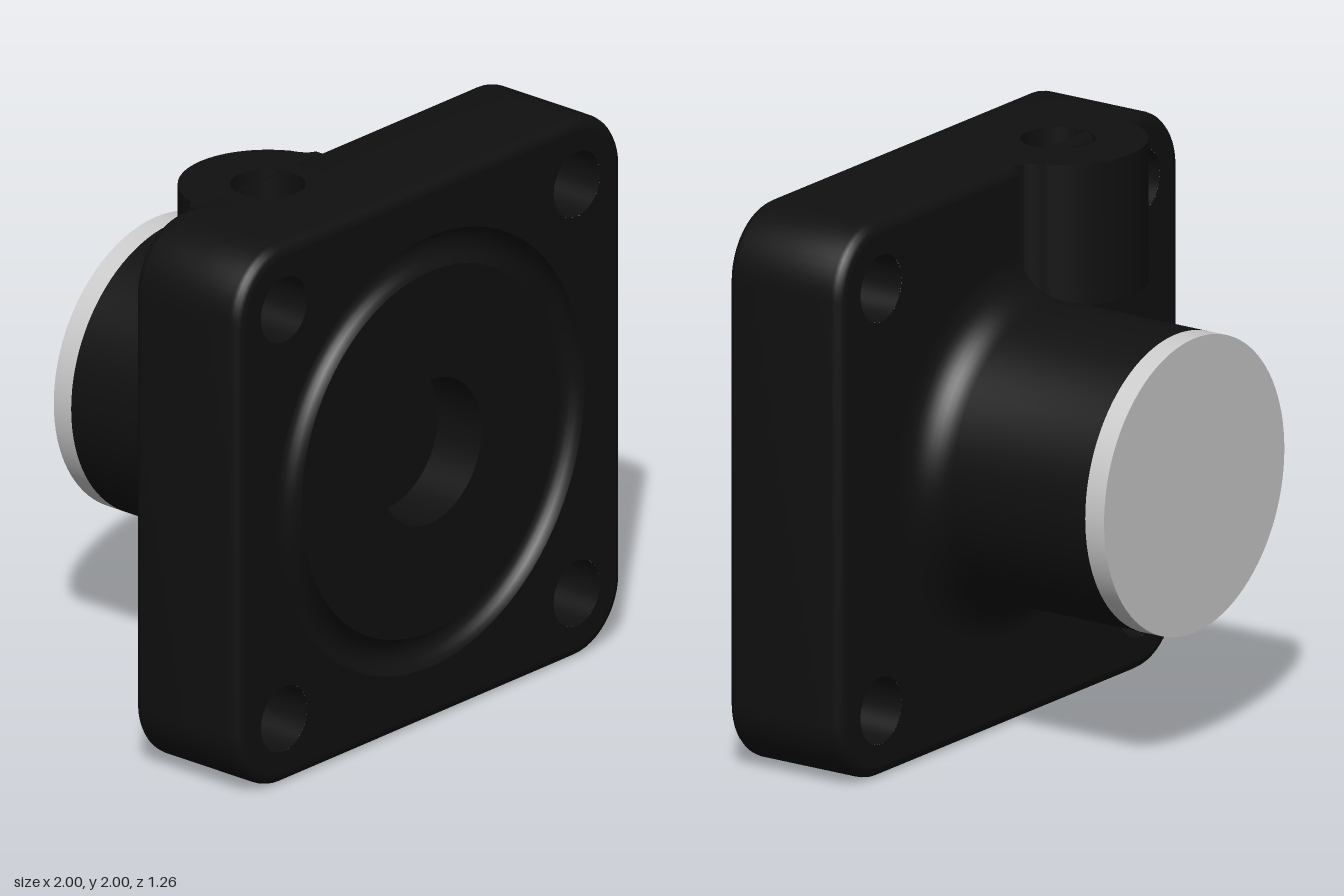
import * as THREE from 'three';
import { toCreasedNormals } from 'three/addons/utils/BufferGeometryUtils.js';

const FRONT = 0.63, BACK = 0.15, BEVEL = 0.04, BOLT = 0.76, BOLT_R = 0.12;
const PORT = { x: -0.38, z: 0.22, r: 0.13 };
const V = (x, y) => new THREE.Vector2(x, y);

export function createModel() {
  const dark = new THREE.MeshStandardMaterial({ color: 0x101010 });
  const bore = new THREE.MeshStandardMaterial({ color: 0x101010, side: THREE.BackSide });
  const grey = new THREE.MeshStandardMaterial({ color: 0xcccccc });

  const root = new THREE.Group();
  root.name = 'flangedHousing';
  const body = new THREE.Group();
  body.name = 'body';
  body.position.y = 1;
  root.add(body);

  const add = (name, geometry, material = dark) => {
    const mesh = new THREE.Mesh(geometry, material);
    mesh.name = name;
    body.add(mesh);
    return mesh;
  };
  // Profile of (radius, z) pairs turned around the z axis
  const latheZ = (points) =>
    toCreasedNormals(new THREE.LatheGeometry(points, 96).rotateX(Math.PI / 2), 0.6);
  const circle = (x, y, r) => new THREE.Path().absarc(x, y, r, 0, Math.PI * 2, true);

  // Rounded square, inset by d; two extra points on the top edge frame the port
  const outline = (d) => {
    const pts = [], r = 0.24 - d;
    for (let k = 0; k < 4; k++) {
      const cx = k === 0 || k === 3 ? BOLT : -BOLT, cy = k < 2 ? BOLT : -BOLT;
      for (let i = 0; i <= 12; i++) {
        const a = (k + i / 12) * Math.PI / 2;
        pts.push(V(cx + r * Math.cos(a), cy + r * Math.sin(a)));
      }
      if (k === 0) pts.push(V(-0.18, 1 - d), V(-0.58, 1 - d));
    }
    return pts;
  };

  // Flange rim with rounded front and back edges
  const arc = [0, 1, 2, 3, 4].map((i) => i * Math.PI / 8);
  const loops = [
    ...arc.map((a) => [BEVEL * (1 - Math.sin(a)), FRONT - BEVEL * (1 - Math.cos(a))]),
    [0, 0.4],
    ...arc.map((a) => [BEVEL * (1 - Math.cos(a)), BACK + BEVEL * (1 - Math.sin(a))]),
  ];
  const pos = [], index = [], n = outline(0).length;
  loops.forEach(([d, z]) => outline(d).forEach((p) => pos.push(p.x, p.y, z)));
  for (let j = 0; j < loops.length - 1; j++) {
    for (let i = 0; i < n; i++) {
      if (j === 5 && i === 13) continue; // opening for the port boss
      const a = j * n + i, b = j * n + (i + 1) % n;
      index.push(a, a + n, b, b, a + n, b + n);
    }
  }
  const rim = new THREE.BufferGeometry();
  rim.setAttribute('position', new THREE.Float32BufferAttribute(pos, 3));
  rim.setIndex(index);
  rim.computeVertexNormals();
  add('flangeRim', toCreasedNormals(rim, 0.6));

  // Flange faces with bolt holes
  const face = (innerRadius) => {
    const s = new THREE.Shape(outline(BEVEL));
    for (const x of [-BOLT, BOLT])
      for (const y of [-BOLT, BOLT]) s.holes.push(circle(x, y, BOLT_R));
    s.holes.push(circle(0, 0, innerRadius));
    return new THREE.ShapeGeometry(s, 48);
  };
  add('flangeFront', face(0.8)).position.z = FRONT;
  add('flangeBack', face(0.66).rotateY(Math.PI)).position.z = BACK;

  for (const x of [-BOLT, BOLT]) {
    for (const y of [-BOLT, BOLT]) {
      const g = new THREE.CylinderGeometry(BOLT_R, BOLT_R, FRONT - BACK, 48, 1, true);
      add('boltHole', g.rotateX(Math.PI / 2), bore).position.set(x, y, (FRONT + BACK) / 2);
    }
  }

  // Front face: round seal groove and blind central bore
  const dish = [];
  for (let i = 0; i <= 12; i++) {
    const a = i * Math.PI / 12;
    dish.push(V(0.735 + 0.065 * Math.cos(a), FRONT - 0.065 * Math.sin(a)));
  }
  dish.push(V(0.265, FRONT), V(0.265, FRONT - 0.2), V(0, FRONT - 0.2));
  add('grooveAndBore', latheZ(dish));

  // Rear barrel with a fillet into the flange, closed by the end cap
  const barrel = [V(0.53, -0.55)];
  for (let i = 0; i <= 10; i++) {
    const a = i * Math.PI / 20;
    barrel.push(V(0.67 - 0.14 * Math.cos(a), 0.01 + 0.14 * Math.sin(a)));
  }
  add('barrel', latheZ(barrel));
  add('endCap', new THREE.CylinderGeometry(0.53, 0.53, 0.08, 96).rotateX(Math.PI / 2), grey)
    .position.z = -0.59;

  // Port boss: plan outline in (x, -z), extruded upward
  const bossPart = (name, y0, y1, open) => {
    const s = new THREE.Shape(), px = PORT.x, a = Math.asin(0.14 / 0.31);
    s.moveTo(px + 0.2, -0.4);
    s.lineTo(px + 0.2, -0.18);
    s.lineTo(px + 0.33, -0.18);
    s.lineTo(px + 0.33, -0.148);
    s.quadraticCurveTo(px + 0.295, -0.14, px + 0.277, -0.08);
    s.absarc(px, -PORT.z, 0.31, a, Math.PI - a, false);
    s.quadraticCurveTo(px - 0.295, -0.14, px - 0.33, -0.148);
    s.lineTo(px - 0.33, -0.18);
    s.lineTo(px - 0.2, -0.18);
    s.lineTo(px - 0.2, -0.4);
    if (open) s.holes.push(circle(px, -PORT.z, PORT.r));
    const g = new THREE.ExtrudeGeometry(s, { depth: y1 - y0, bevelEnabled: false, curveSegments: 32 });
    add(name, toCreasedNormals(g.rotateX(-Math.PI / 2), 0.5)).position.y = y0;
  };
  bossPart('portBoss', 0.52, 1, true);
  bossPart('portBossBase', 0.49, 0.52, false);

  // Conical bottom of the port
  const cone = new THREE.LatheGeometry([V(PORT.r, 0.68), V(0, 0.6)], 48);
  add('portBottom', cone).position.set(PORT.x, 0, PORT.z);

  return root;
}
